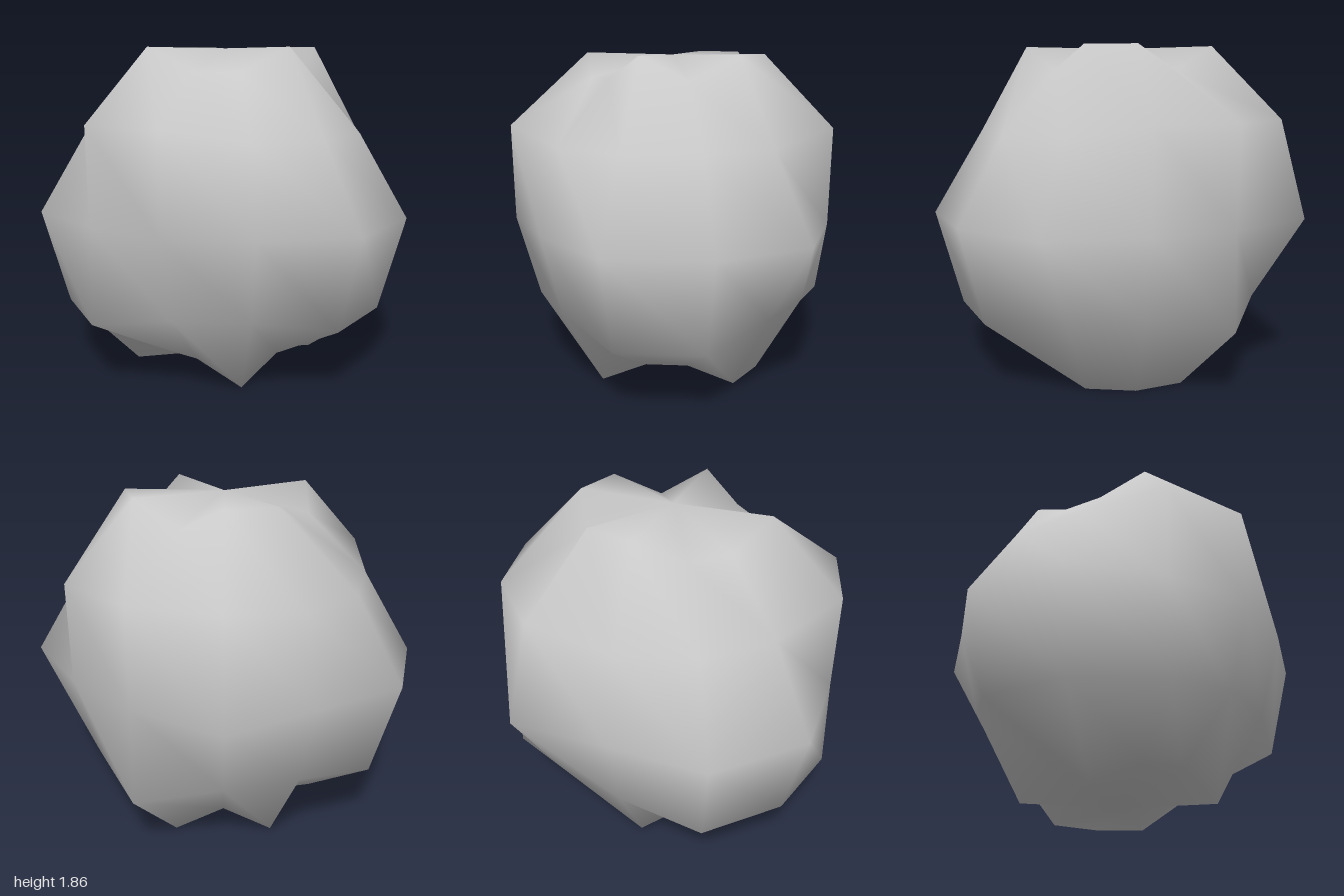
import * as THREE from 'three';
import { mergeVertices } from 'three/addons/utils/BufferGeometryUtils.js';

const SEGMENTS = 12;
const RINGS = 6;
const RADIUS = 1.072;
const DENT = 0.859; // radius factor of the dented points

// One row per latitude ring, pole to pole, running from -x through +z: 1 = full radius, 0 = dented
const BUMPS = [
  '000000000000',
  '100100101101',
  '000110000111',
  '011000111001',
  '011100110010',
  '101001001110',
  '000000000000',
];

// Coarse sphere whose points are pushed in to make a lumpy boulder
function boulderGeometry() {
  const sphere = new THREE.SphereGeometry(RADIUS, SEGMENTS, RINGS);
  const pos = sphere.attributes.position;
  const point = new THREE.Vector3();
  for (let ring = 0; ring <= RINGS; ring++) {
    for (let seg = 0; seg <= SEGMENTS; seg++) {
      const i = ring * (SEGMENTS + 1) + seg;
      const scale = BUMPS[ring][seg % SEGMENTS] === '1' ? 1 : DENT;
      point.fromBufferAttribute(pos, i).multiplyScalar(scale);
      pos.setXYZ(i, point.x, point.y, point.z);
    }
  }
  // Weld the seam and poles so the shading runs smoothly all round
  sphere.deleteAttribute('uv');
  sphere.deleteAttribute('normal');
  const welded = mergeVertices(sphere, 1e-3);
  welded.computeVertexNormals();
  return welded;
}

export function createModel() {
  const group = new THREE.Group();
  group.name = 'boulder';

  const stone = new THREE.MeshStandardMaterial({ color: 0xc8c8c8 });
  stone.name = 'pale stone grey';

  const rock = new THREE.Mesh(boulderGeometry(), stone);
  rock.name = 'rock';
  rock.position.set(-0.072, RADIUS * Math.cos(Math.PI / 6), 0); // rests on its lowest ring
  group.add(rock);
  return group;
}
